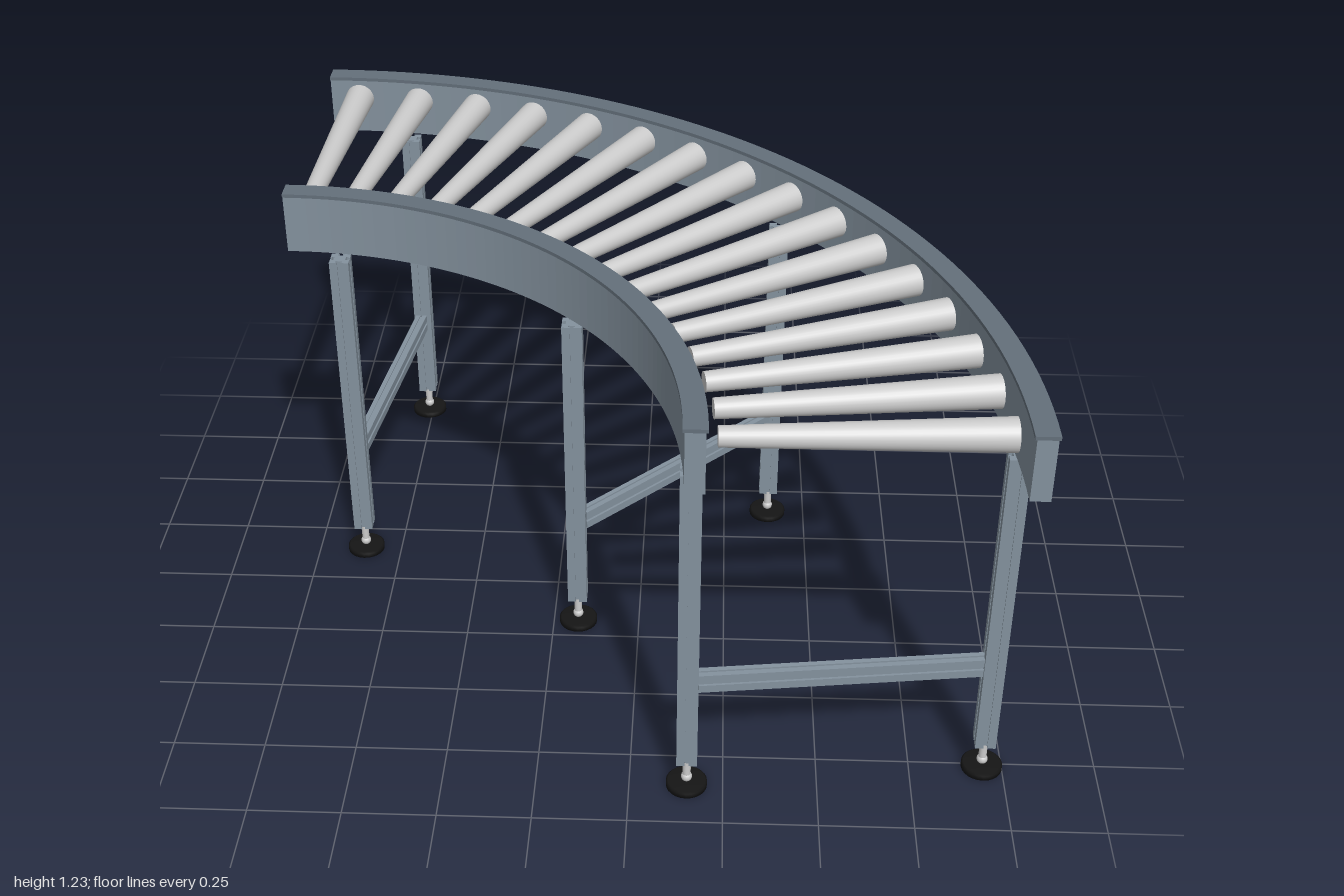
import * as THREE from 'three';

const mat = (color) => new THREE.MeshStandardMaterial({ color });
const railMat = mat(0x84929e), capMat = mat(0x64707b), legMat = mat(0x84929e);
const steelMat = mat(0xcccccc), rubberMat = mat(0x151515);

// The curve turns a quarter circle about the corner (-1, 1)
const CX = -1, CZ = 1, R_IN = 1.162, R_OUT = 1.961;

function add(parent, name, geometry, material, x = 0, y = 0, z = 0) {
  const mesh = new THREE.Mesh(geometry, material);
  mesh.name = name;
  mesh.position.set(x, y, z);
  parent.add(mesh);
  return mesh;
}

// Quarter-ring slab, lying flat and rising from y = 0
function arcSlab(r, width, height) {
  const s = new THREE.Shape();
  s.absarc(0, 0, r + width / 2, 0, Math.PI / 2, false);
  s.absarc(0, 0, r - width / 2, Math.PI / 2, 0, true);
  s.closePath();
  const g = new THREE.ExtrudeGeometry(s, { depth: height, bevelEnabled: false, curveSegments: 28 });
  return g.rotateX(-Math.PI / 2);
}

// Slotted aluminium profile, one T-slot in each side, extruded along z
function slotProfile(w, h, length) {
  const o = 0.005, t = 0.004, v = 0.009, d = 0.011;
  const slot = [[-o, 0], [-o, t], [-v, t], [-v, d], [v, d], [v, t], [o, t], [o, 0]];
  const pts = [];
  for (let side = 0; side < 4; side++) {
    const half = side % 2 ? w / 2 : h / 2, across = side % 2 ? h / 2 : w / 2;
    const k = Math.min(1, across / 0.0275);
    const rot = side * Math.PI / 2;
    for (const [a, b] of [[-across, 0], ...slot.map(([a, b]) => [a * k, b * k])])
      pts.push(new THREE.Vector2(a, b - half).rotateAround(new THREE.Vector2(), rot));
  }
  return new THREE.ExtrudeGeometry(new THREE.Shape(pts), { depth: length, bevelEnabled: false });
}

// Levelling foot: rubber pad, ball joint, threaded stem and nut
function addFoot(parent) {
  const foot = new THREE.Group();
  foot.name = 'levellingFoot';
  const pad = [[0, 0], [0.055, 0], [0.055, 0.014], [0.05, 0.018], [0, 0.018]];
  add(foot, 'footPad', new THREE.LatheGeometry(pad.map(p => new THREE.Vector2(...p)), 24), rubberMat);
  add(foot, 'footBall', new THREE.SphereGeometry(0.015, 16, 10), steelMat, 0, 0.03, 0);
  add(foot, 'footStem', new THREE.CylinderGeometry(0.011, 0.011, 0.07, 16), steelMat, 0, 0.06, 0);
  add(foot, 'footNut', new THREE.CylinderGeometry(0.016, 0.016, 0.014, 6), steelMat, 0, 0.083, 0);
  parent.add(foot);
}

export function createModel() {
  const model = new THREE.Group();
  model.name = 'curvedRollerConveyor';

  // Side rails with a slightly wider cap
  for (const [name, r] of [['innerRail', R_IN], ['outerRail', R_OUT]]) {
    add(model, name, arcSlab(r, 0.05, 0.17), railMat, CX, 1.05, CZ);
    add(model, name + 'Cap', arcSlab(r, 0.06, 0.01), capMat, CX, 1.22, CZ);
  }

  // Tapered rollers, thick end outwards
  const COUNT = 16;
  const rollerGeo = new THREE.CylinderGeometry(0.043, 0.026, 0.695, 28).rotateZ(-Math.PI / 2);
  for (let i = 0; i < COUNT; i++) {
    const a = (i + 0.5) * Math.PI / 2 / COUNT, r = 1.5625;
    const roller = add(model, 'roller', rollerGeo, steelMat,
      CX + r * Math.cos(a), 1.173, CZ - r * Math.sin(a));
    roller.rotation.y = a;
  }

  // Three support frames: two legs and a cross beam each
  const legGeo = slotProfile(0.055, 0.055, 0.93).rotateX(-Math.PI / 2);
  const gap = 0.026;
  const beamGeo = slotProfile(0.034, 0.055, R_OUT - R_IN - 2 * gap).rotateY(Math.PI / 2);
  for (const deg of [7, 45, 83]) {
    const a = THREE.MathUtils.degToRad(deg), c = Math.cos(a), s = Math.sin(a);
    const frame = new THREE.Group();
    frame.name = 'supportFrame';
    for (const r of [R_IN, R_OUT]) {
      const leg = new THREE.Group();
      leg.name = r === R_IN ? 'innerLeg' : 'outerLeg';
      leg.position.set(CX + r * c, 0, CZ - r * s);
      add(leg, 'legPost', legGeo, legMat, 0, 0.09, 0);
      addFoot(leg);
      frame.add(leg);
    }
    const r0 = R_IN + gap;
    add(frame, 'crossBeam', beamGeo, legMat, CX + r0 * c, 0.36, CZ - r0 * s).rotation.y = a;
    model.add(frame);
  }
  return model;
}
